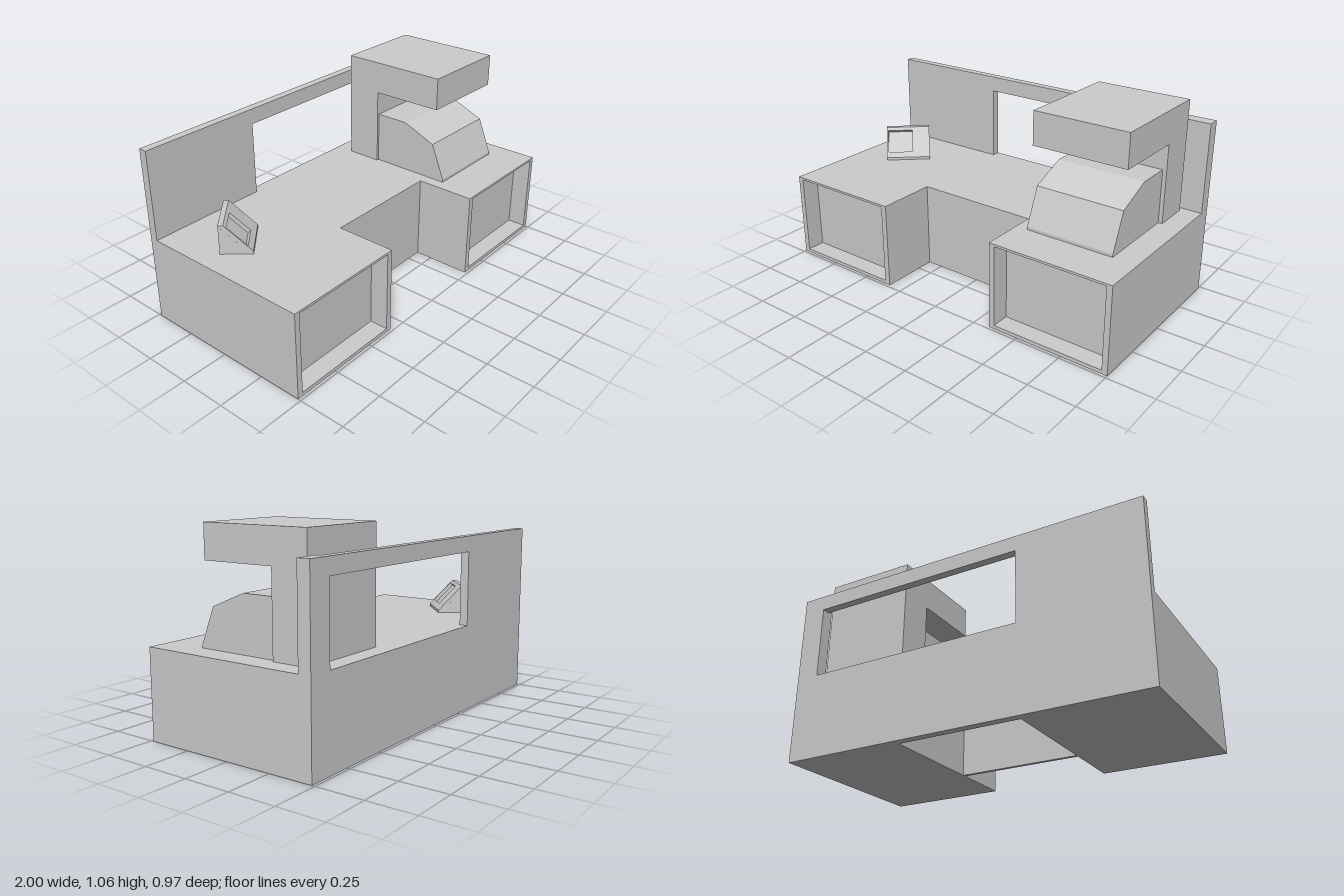
import * as THREE from 'three';

const mat = new THREE.MeshStandardMaterial({ color: 0xcccccc, flatShading: true });

function add(parent, name, geometry) {
  const mesh = new THREE.Mesh(geometry, mat);
  mesh.name = name;
  parent.add(mesh);
  return mesh;
}

// Box given by its limits on each axis
function box(x0, x1, y0, y1, z0, z1) {
  return new THREE.BoxGeometry(x1 - x0, y1 - y0, z1 - z0)
    .translate((x0 + x1) / 2, (y0 + y1) / 2, (z0 + z1) / 2);
}

const shapeOf = (pts) => new THREE.Shape(pts.map(([a, b]) => new THREE.Vector2(a, b)));

// Side profile of [z, y] points, extruded from x0 to x1
function prism(profile, x0, x1) {
  return new THREE.ExtrudeGeometry(shapeOf(profile), { depth: x1 - x0, bevelEnabled: false })
    .rotateY(-Math.PI / 2).translate(x1, 0, 0);
}

// Rectangular panel with a rectangular opening; limits are [x0, x1, y0, y1]
function framePanel(outer, hole, z0, z1) {
  const corners = ([x0, x1, y0, y1]) => [[x0, y0], [x1, y0], [x1, y1], [x0, y1]];
  const shape = shapeOf(corners(outer));
  shape.holes.push(shapeOf(corners(hole)));
  return new THREE.ExtrudeGeometry(shape, { depth: z1 - z0, bevelEnabled: false }).translate(0, 0, z0);
}

export function createModel() {
  const model = new THREE.Group();
  model.name = 'checkoutDesk';
  const top = 0.465, inner = 0.335;

  // Pedestals with recessed fronts
  for (const side of [-1, 1]) {
    const pedestal = new THREE.Group();
    pedestal.name = side < 0 ? 'rightPedestal' : 'leftPedestal';
    const span = (a, b) => (side < 0 ? [-b, -a] : [a, b]);
    add(pedestal, 'cabinet', box(...span(inner, 1), 0, top, -0.44, 0.385));
    add(pedestal, 'frontFrame',
      framePanel([...span(inner, 1), 0, top], [...span(0.366, 0.97), 0.02, 0.453], 0.385, 0.485));
    model.add(pedestal);
  }

  // Middle section, open underneath
  add(model, 'middleTop', box(-inner, inner, top - 0.02, top, -0.44, 0.16));
  add(model, 'kneePanel', box(-inner, inner, 0, top - 0.02, 0.14, 0.16));

  // Back wall with window and a thicker end post
  add(model, 'backWall', framePanel([-1, 1, 0, 0.943], [-inner, 0.87, top, 0.86], -0.485, -0.44));
  add(model, 'endPost', box(0.87, 1, top, 0.943, -0.44, -0.418));

  // Machine: overhanging head on a column, with a sloped housing below
  const machine = new THREE.Group();
  machine.name = 'machine';
  add(machine, 'columnAndHead', prism(
    [[-0.387, top], [-0.19, top], [-0.19, 0.882], [0.21, 0.882], [0.21, 1.056], [-0.387, 1.056]],
    0.387, 0.894));
  add(machine, 'slopedHousing', prism(
    [[-0.19, top], [0.263, top], [0.263, 0.48], [0.185, 0.67], [-0.003, 0.748], [-0.19, 0.748]],
    0.4, 0.873));
  model.add(machine);

  // Small desk terminal: wedge body faced with a tilted frame around the screen recess
  const terminal = new THREE.Group();
  terminal.name = 'terminal';
  add(terminal, 'terminalBody', prism(
    [[-0.08, 0], [0.08, 0], [0.08, 0.015], [0.0656, 0.0011], [-0.0694, 0.141], [-0.055, 0.155], [-0.08, 0.155]],
    -0.125, 0.125));
  const face = add(terminal, 'screenFrame',
    framePanel([-0.125, 0.125, 0, 0.1945], [-0.115, 0.025, 0.035, 0.174], 0, 0.02));
  face.rotation.x = -0.767;
  face.position.set(0, 0.0011, 0.0656);
  terminal.position.set(-0.74, top, -0.137);
  terminal.rotation.y = 0.73;
  model.add(terminal);

  return model;
}
